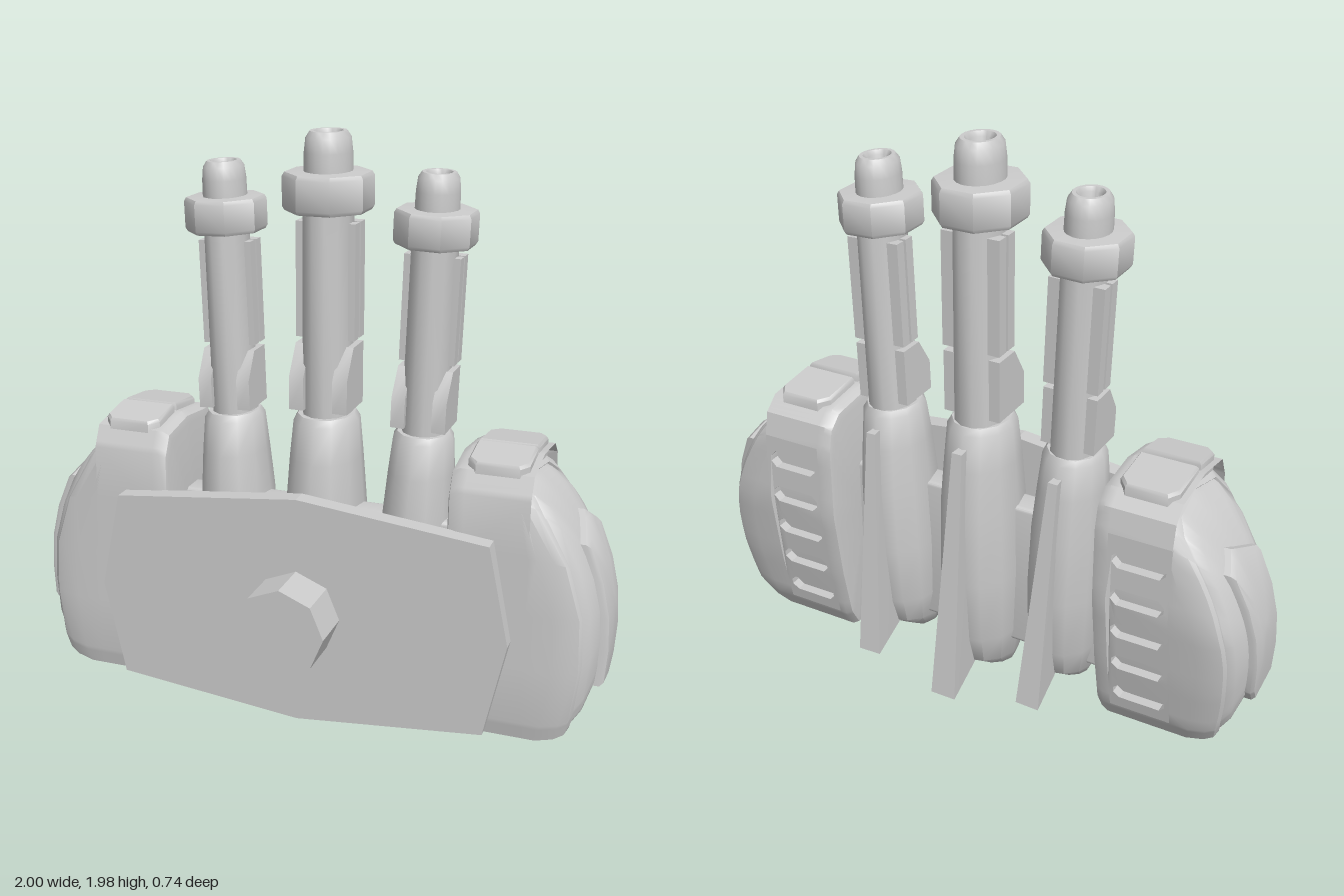
import * as THREE from 'three';
import { toCreasedNormals } from 'three/addons/utils/BufferGeometryUtils.js';
import { RoundedBoxGeometry } from 'three/addons/geometries/RoundedBoxGeometry.js';

const grey = new THREE.MeshStandardMaterial({ color: 0xcccccc });

function add(parent, name, geometry, crease = 0.6) {
  const mesh = new THREE.Mesh(toCreasedNormals(geometry, crease), grey);
  mesh.name = name;
  parent.add(mesh);
  return mesh;
}

// Closed skin over rings of [x, y, z] points, capped at both ends, always facing outwards
function loft(rings) {
  const n = rings[0].length, pos = rings.flat(2), idx = [];
  for (let r = 0; r < rings.length - 1; r++) {
    for (let i = 0; i < n; i++) {
      const a = r * n + i, b = r * n + (i + 1) % n;
      idx.push(a, b, b + n, a, b + n, a + n);
    }
  }
  [0, rings.length - 1].forEach((r) => {
    const c = pos.length / 3;
    for (let k = 0; k < 3; k++) pos.push(rings[r].reduce((t, p) => t + p[k], 0) / n);
    for (let i = 0; i < n; i++) {
      const a = r * n + i, b = r * n + (i + 1) % n;
      if (r === 0) idx.push(c, b, a); else idx.push(c, a, b);
    }
  });
  const v = (i) => new THREE.Vector3().fromArray(pos, i * 3);
  let volume = 0;
  for (let i = 0; i < idx.length; i += 3) volume += v(idx[i]).dot(v(idx[i + 1]).cross(v(idx[i + 2])));
  if (volume < 0) idx.reverse();
  const g = new THREE.BufferGeometry();
  g.setAttribute('position', new THREE.Float32BufferAttribute(pos, 3));
  g.setIndex(idx);
  return g;
}

const polygon = (pts) => new THREE.Shape(pts.map(([x, y]) => new THREE.Vector2(x, y)));
const lathe = (pts, sides) => new THREE.LatheGeometry(pts.map(([x, y]) => new THREE.Vector2(x, y)), sides, Math.PI / sides);

// One gun: pod, back fin, barrel, collar and muzzle
function makeGun() {
  const gun = new THREE.Group();
  // pod rows: y, half width, front z, back z, lift of the back edge
  const rows = [[0.005, 0.01, 0.04, 0.0, 0.005], [0.05, 0.075, 0.075, -0.11, 0.04], [0.11, 0.105, 0.085, -0.2, 0.05],
    [0.25, 0.13, 0.095, -0.24, 0.02], [0.5, 0.137, 0.1, -0.26, 0], [0.75, 0.132, 0.09, -0.255, 0],
    [0.92, 0.12, 0.07, -0.235, 0], [1.045, 0.11, 0.045, -0.215, 0], [1.068, 0.095, 0.03, -0.2, 0]];
  add(gun, 'pod', loft(rows.map(([y, rx, f, b, lift]) => Array.from({ length: 12 }, (_, i) => {
    const a = i / 12 * Math.PI * 2, t = (1 - Math.cos(a)) / 2;
    return [rx * Math.sin(a), y + lift * t, f + (b - f) * t];
  }))), 0.75);

  const finRow = (y0, z0, w0, y1, z1, w1) => [[-w0, y0, z0], [w0, y0, z0], [w1, y1, z1], [-w1, y1, z1]];
  add(gun, 'backFin', loft([finRow(0.15, -0.18, 0.02, 0.12, -0.37, 0.045), finRow(1.0, -0.18, 0.012, 1.0, -0.255, 0.018)]), 0.3);

  const barrel = new THREE.Group();
  barrel.name = 'barrelAssembly';
  barrel.position.z = -0.092;
  gun.add(barrel);
  add(barrel, 'barrel', lathe([[0.083, 1.03], [0.081, 1.75]], 12)).scale.z = 1.25;
  add(barrel, 'collar', lathe([[0.08, 1.735], [0.138, 1.737], [0.146, 1.75], [0.146, 1.845], [0.138, 1.858], [0.07, 1.862]], 8)).scale.z = 1.08;
  add(barrel, 'muzzle', lathe([[0.077, 1.85], [0.076, 1.92], [0.071, 1.965], [0.058, 1.985], [0.046, 1.985], [0.038, 1.97],
    [0.035, 1.88], [0, 1.88]], 20)).scale.z = 1.2;

  // raised strips and a wedge block on each flank
  const wedge = polygon([[0.1, 1.09], [0.1, 1.2], [0.035, 1.3], [-0.065, 1.3], [-0.065, 1.09]]);
  for (const s of [-1, 1]) {
    for (const z of [0.008, -0.047]) {
      const strip = add(barrel, 'barrelStrip', new THREE.BoxGeometry(0.05, 0.38, 0.042));
      strip.position.set(s * 0.076, 1.51, z);
    }
    const g = new THREE.ExtrudeGeometry(wedge, { depth: 0.05, bevelEnabled: false });
    g.rotateY(-Math.PI / 2);
    add(barrel, 'wedgeBlock', g).position.x = s > 0 ? 0.1 : -0.05;
  }
  return gun;
}

// Side housing outline: z, y, and 1 where the wall sinks behind the vent panel
const outline = [[0.12, 1.0, 0], [-0.03, 1.025, 0], [-0.2, 1.005, 0], [-0.25, 0.96, 0], [-0.268, 0.88, 0], [-0.268, 0.88, 1],
  [-0.268, 0.62, 1], [-0.23, 0.36, 1], [-0.19, 0.17, 1], [-0.19, 0.17, 0], [-0.15, 0.1, 0], [0.13, 0.1, 0],
  [0.165, 0.12, 0], [0.177, 0.18, 0], [0.155, 0.93, 0]];
const backWall = [[0.17, -0.19], [0.36, -0.23], [0.62, -0.268], [0.88, -0.268]];
const padOutline = [[-0.1, 0.83, 0], [-0.17, 0.78, 0], [-0.115, 0.33, 0], [-0.07, 0.27, 0], [0.07, 0.3, 0], [0.05, 0.77, 0]];

const bulge = (y) => 0.93 - (y > 0.45 ? 0.8 : 0.4) * (y - 0.45) ** 2;
const subdivide = (pts, k) => pts.flatMap((p, i) => {
  const q = pts[(i + 1) % pts.length];
  return Array.from({ length: k }, (_, j) => p.map((c, m) => c + (q[m] - c) * j / k));
});

// Stack of scaled outlines along x; each layer: scale, x (number or rule of y), depth of the sunk wall
function stack(pts, cz, cy, side, layers) {
  return loft(layers.map(([s, x, sink = 0]) => pts.map(([z, y, m]) => {
    const yy = cy + (y - cy) * s;
    return [side * (typeof x === 'number' ? x : x(yy)), yy, cz + (z - cz) * s + m * sink];
  })));
}
const off = (d) => (y) => bulge(y) + d;

function backZ(y) {
  const i = Math.max(1, backWall.findIndex((p) => y <= p[0] + 1e-6));
  const [y0, z0] = backWall[i - 1], [y1, z1] = backWall[i];
  return z0 + (z1 - z0) * (y - y0) / (y1 - y0);
}

function makeHousing(side) {
  const housing = new THREE.Group();
  housing.name = side > 0 ? 'leftHousing' : 'rightHousing';
  const x0 = 0.535, x1 = 0.745;
  add(housing, 'housingShell', stack(subdivide(outline, 4), -0.04, 0.56, side, [
    [0.92, 0.482], [0.97, 0.487], [1, 0.51], [1, x0], [1, x0, 0.035], [1, x1, 0.035], [1, x1],
    [1, (y) => Math.max(x1 - 0.04, bulge(y) - 0.09)], [0.97, off(-0.035)], [0.93, off(-0.008)], [0.87, off(0)], [0.855, off(-0.012)],
    [0.84, off(0)], [0.75, off(0.02)], [0.55, off(0.037)], [0.3, off(0.046)], [0.05, off(0.05)]]));
  add(housing, 'outerPad', stack(subdivide(padOutline, 4), -0.05, 0.55, side, [
    [1, off(0.0)], [1, off(0.055)], [0.95, off(0.066)], [0.5, off(0.07)], [0.1, off(0.07)]]));

  // vent panel with five slots, bent to follow the back wall
  const edge = Array.from({ length: 13 }, (_, i) => 0.17 + 0.71 * i / 12);
  const panel = polygon([...edge.map((y) => [x1, y]), ...edge.slice().reverse().map((y) => [x0, y])]);
  for (let i = 0; i < 5; i++) {
    const y = 0.245 + i * 0.137, h = 0.03, a = x0 + 0.015, b = x1 - 0.015;
    panel.holes.push(new THREE.Path([[a + 0.02, y - h], [a, y - 0.01], [a, y + 0.01], [a + 0.02, y + h],
      [b - 0.02, y + h], [b, y + 0.01], [b, y - 0.01], [b - 0.02, y - h]].map(([x, v]) => new THREE.Vector2(x, v))));
  }
  const g = new THREE.ExtrudeGeometry(panel, { depth: 0.035, bevelEnabled: false });
  g.translate(-(x0 + x1) / 2, 0, 0);
  const p = g.attributes.position;
  for (let i = 0; i < p.count; i++) p.setZ(i, p.getZ(i) + backZ(p.getY(i)));
  add(housing, 'ventPanel', g).position.x = side * (x0 + x1) / 2;

  // two top pads with clipped outer corners
  for (const [za, zb, tilt, y] of [[-0.215, -0.035, -0.1, 1.005], [-0.02, 0.125, 0.16, 1.005]]) {
    const out = za < -0.1 ? za : zb, inn = za < -0.1 ? zb : za, c = (out - inn) * 0.2, mid = (za + zb) / 2;
    const ring = (h, k) => [[0.53, inn], [0.725, inn], [0.725, out - c], [0.7, out], [0.56, out], [0.53, out - c]]
      .map(([x, z]) => [side * (0.627 + (x - 0.627) * k), y + h - tilt * (z - mid), z * k + mid * (1 - k)]);
    add(housing, 'topPad', loft([ring(-0.03, 1), ring(0.025, 1), ring(0.035, 0.93)]));
  }
  return housing;
}

export function createModel() {
  const model = new THREE.Group();
  model.name = 'tripleGunMount';

  // front plate and its octagonal peg
  const plate = polygon([[0, 0.07], [0.635, 0.135], [0.705, 0.46], [0.635, 0.79], [0, 0.86], [-0.635, 0.79], [-0.705, 0.46], [-0.635, 0.135]]);
  add(model, 'frontPlate', new THREE.ExtrudeGeometry(plate, { depth: 0.06, bevelEnabled: false }), 0.1).position.z = 0.155;
  const peg = add(model, 'mountPeg', new THREE.CylinderGeometry(0.15, 0.15, 0.17, 8), 0.3);
  peg.rotation.x = Math.PI / 2;
  peg.position.set(0, 0.46, 0.285);

  // cross member joining the guns and housings
  const beam = add(model, 'crossBeam', new RoundedBoxGeometry(1.02, 0.54, 0.1, 2, 0.015));
  beam.position.set(0, 0.49, -0.05);

  const centre = makeGun();
  centre.name = 'centreGun';
  model.add(centre);
  for (const side of [-1, 1]) {
    const gun = makeGun();
    gun.name = side > 0 ? 'leftGun' : 'rightGun';
    gun.scale.setScalar(0.91);
    gun.position.set(side * 0.303, 0.07, -0.01);
    gun.rotation.z = -side * 0.032;
    model.add(gun, makeHousing(side));
  }
  return model;
}
